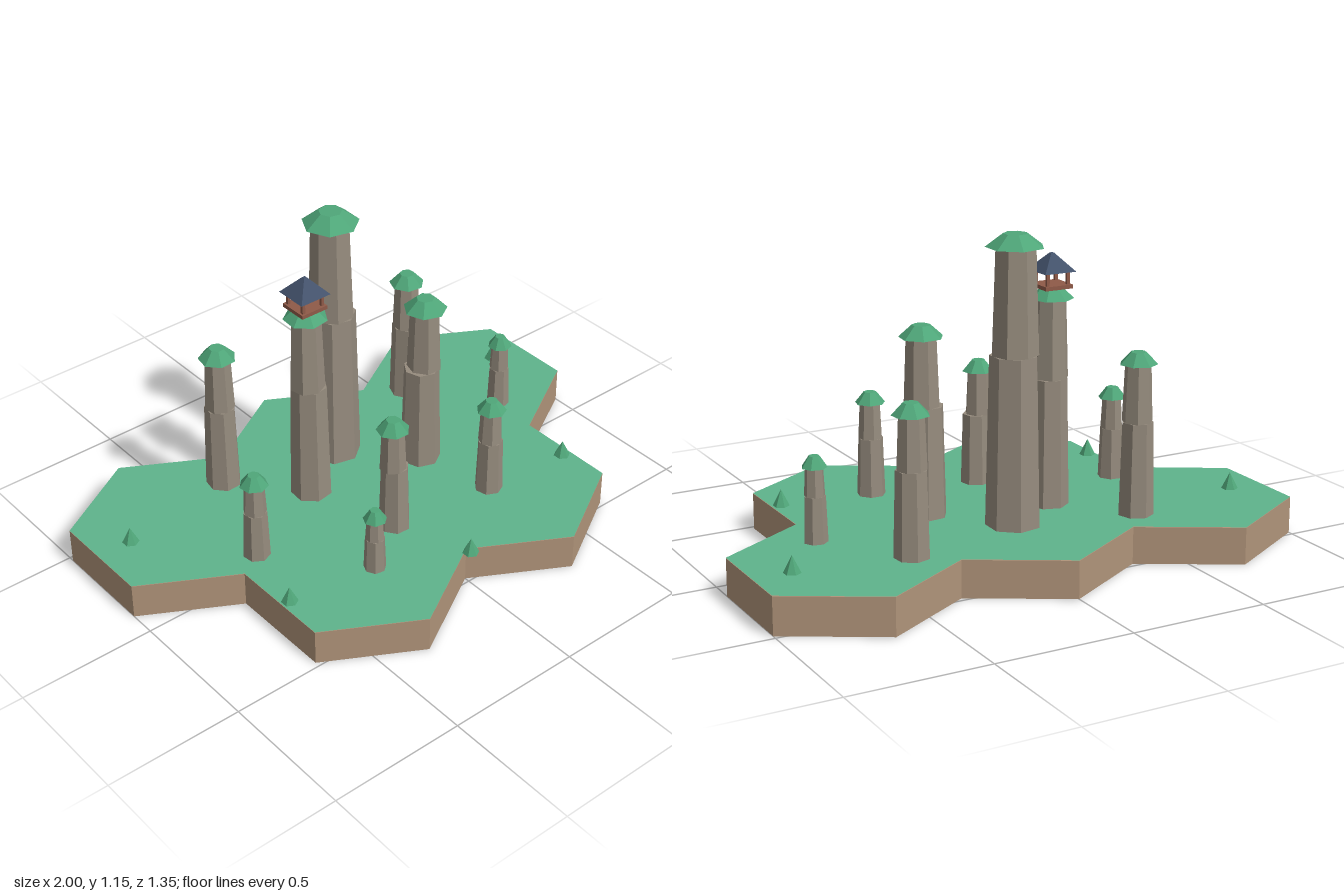
import * as THREE from 'three';

const mat = (color) => new THREE.MeshStandardMaterial({ color, flatShading: true });
const GROUND = 0.135;

export function createModel() {
  const model = new THREE.Group();
  model.name = 'pillarIsland';
  const grass = mat(0x5fb38c), soil = mat(0xb0947a), rock = mat(0x968c7e);
  const leaf = mat(0x4fa679), wood = mat(0x8f5a48), slate = mat(0x43526b);

  const add = (parent, name, geometry, material, x, y, z, turn = 0) => {
    const mesh = new THREE.Mesh(geometry, material);
    mesh.name = name;
    mesh.position.set(x, y, z);
    mesh.rotation.y = turn;
    parent.add(mesh);
    return mesh;
  };
  const group = (name, x, y, z) => {
    const g = new THREE.Group();
    g.name = name;
    g.position.set(x, y, z);
    model.add(g);
    return g;
  };

  // Island: outline of five joined hexagons, three behind and two in front
  const half = [[0, -0.673], [0.333, -0.481], [0.667, -0.673], [1, -0.481], [1, -0.096],
    [0.667, 0.096], [0.667, 0.481], [0.333, 0.673], [0, 0.481]];
  const mirrored = half.slice(1, -1).reverse().map(([x, z]) => [-x, z]);
  const outline = new THREE.Shape([...half, ...mirrored].map(([x, z]) => new THREE.Vector2(x, -z)));
  const slab = new THREE.ExtrudeGeometry(outline, { depth: GROUND - 0.002, bevelEnabled: false });
  slab.rotateX(-Math.PI / 2);
  add(model, 'soilBase', slab, soil, 0, 0, 0);
  const turf = new THREE.ShapeGeometry(outline);
  turf.rotateX(-Math.PI / 2);
  add(model, 'grassTop', turf, grass, 0, GROUND, 0);

  // Rock pillars: two stacked tapering blocks under a faceted green cap
  // x, z, top height, cap radius, turn, sideways shift of the lower block
  const pillars = [
    [0.01, -0.26, 1.147, 0.1, 0.2, 0.003],
    [-0.213, -0.122, 0.92, 0.077, 0.6, 0.008],
    [0.243, -0.027, 0.815, 0.077, 0.1, -0.014],
    [-0.416, -0.365, 0.715, 0.066, 0.5, 0],
    [0.463, -0.382, 0.66, 0.064, 0.3, 0],
    [-0.57, 0.037, 0.475, 0.05, 0.8, 0],
    [-0.113, 0.22, 0.593, 0.058, 0.4, 0.01],
    [0.296, 0.272, 0.515, 0.053, 0, 0],
    [0.678, -0.094, 0.435, 0.044, 0.7, 0],
    [-0.303, 0.352, 0.382, 0.041, 0.25, 0],
  ];
  pillars.forEach(([x, z, top, r, turn, shift], i) => {
    const pillar = group('rockPillar' + (i + 1), x, GROUND, z);
    const capHeight = 0.035 + r * 0.1;
    const stem = top - GROUND - capHeight;
    const low = stem * 0.62, high = stem - low;
    add(pillar, 'lowerRock', new THREE.CylinderGeometry(r * 0.84, r * 0.97, low, 7), rock, shift, low / 2, 0, turn);
    add(pillar, 'upperRock', new THREE.CylinderGeometry(r * 0.7, r * 0.82, high, 7), rock, 0, low + high / 2, 0, turn + 0.3);
    add(pillar, 'greenCap', new THREE.CylinderGeometry(r * 0.42, r * 1.02, capHeight, 7), leaf, 0, stem + capHeight / 2, 0, turn);
  });

  // Small pavilion on the second pillar
  const pavilion = group('pavilion', -0.213, 0.915, -0.122);
  add(pavilion, 'floor', new THREE.BoxGeometry(0.106, 0.014, 0.106), wood, 0, 0.007, 0);
  for (const sx of [-1, 1]) {
    for (const sz of [-1, 1]) {
      add(pavilion, 'post', new THREE.BoxGeometry(0.011, 0.062, 0.011), wood, sx * 0.04, 0.042, sz * 0.04);
    }
  }
  add(pavilion, 'roof', new THREE.CylinderGeometry(0.008, 0.087, 0.062, 4), slate, 0, 0.09, 0, Math.PI / 4);

  // Little cone trees around the rim
  const trees = [[-0.868, -0.295], [0.865, -0.328], [-0.635, 0.305], [0.632, 0.305], [0, 0.505]];
  for (const [x, z] of trees) {
    add(model, 'coneTree', new THREE.ConeGeometry(0.03, 0.06, 6), leaf, x, GROUND + 0.03, z);
  }
  return model;
}
